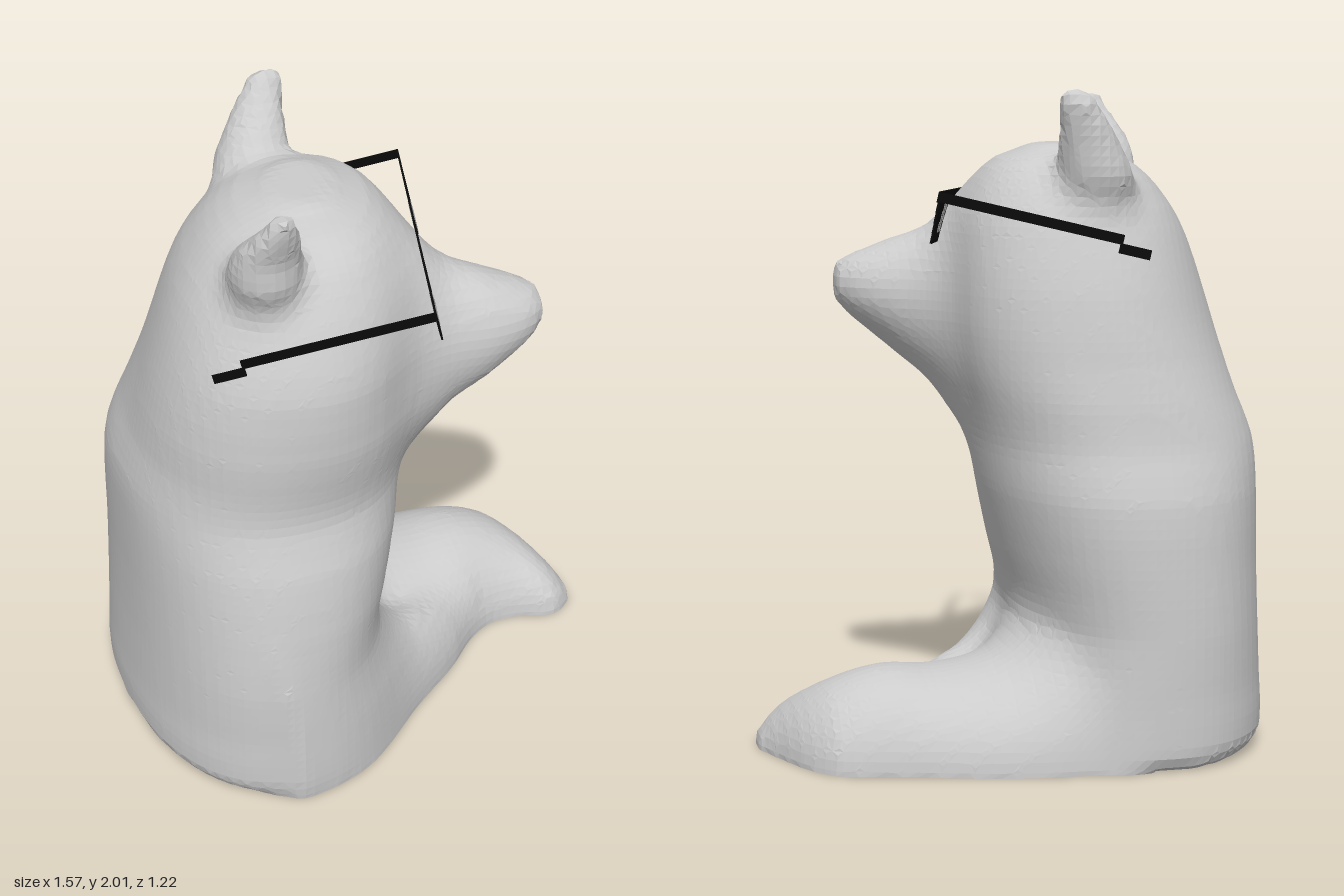
import * as THREE from 'three';

const grey = new THREE.MeshStandardMaterial({ color: 0xcccccc, flatShading: true });
const black = new THREE.MeshStandardMaterial({ color: 0x0a0a0a });
const glint = new THREE.MeshStandardMaterial({ color: 0x999999 });

// Insert a smoothly curved in-between section after every section
function refine(rows) {
  return rows.flatMap((b, k) => {
    const c = rows[k + 1];
    if (!c) return [b];
    const a = rows[k - 1] ?? b, d = rows[k + 2] ?? c;
    return [b, b.map((v, m) => (9 * (v + c[m]) - a[m] - d[m]) / 16)];
  });
}

// Solid swept through oval sections [t, a min, a max, b min, b max];
// gives a rough distance, negative inside
function solid(sections, power = 2) {
  const rows = refine(sections);
  const first = rows[0][0], last = rows[rows.length - 1][0];
  return (t, a, b) => {
    const tc = THREE.MathUtils.clamp(t, first, last);
    let k = 0;
    while (k < rows.length - 2 && rows[k + 1][0] < tc) k++;
    const p = rows[k], q = rows[k + 1], f = (tc - p[0]) / (q[0] - p[0]);
    const at = (m) => p[m] + (q[m] - p[m]) * f;
    const ha = (at(2) - at(1)) / 2, hb = (at(4) - at(3)) / 2;
    const r = (Math.abs((a - at(1)) / ha - 1) ** power + Math.abs((b - at(3)) / hb - 1) ** power) ** (1 / power);
    return Math.max((r - 1) * Math.min(ha, hb), first - t, t - last);
  };
}

// Join two solids with a fillet of size k
function join(a, b, k) {
  const h = Math.max(k - Math.abs(a - b), 0) / k;
  return Math.min(a, b) - (h * h * k) / 4;
}

// Trunk and head: y, back x, front x, right z, left z
const trunk = solid([
  [0, -0.72, 0.03, -0.59, 0.59], [0.06, -0.78, 0.03, -0.6, 0.6], [0.22, -0.775, 0.02, -0.6, 0.6],
  [0.4, -0.765, -0.01, -0.6, 0.6], [0.6, -0.76, 0.035, -0.595, 0.585], [0.8, -0.76, 0.08, -0.58, 0.55],
  [0.95, -0.755, 0.1, -0.53, 0.5], [1.08, -0.72, 0.12, -0.5, 0.515], [1.2, -0.69, 0.14, -0.47, 0.535],
  [1.4, -0.63, 0.15, -0.435, 0.53], [1.55, -0.58, 0.145, -0.39, 0.48], [1.65, -0.53, 0.125, -0.35, 0.43],
  [1.75, -0.45, 0.07, -0.28, 0.36], [1.81, -0.36, 0, -0.2, 0.26], [1.845, -0.25, -0.12, -0.08, 0.12],
], 2.25);

// Muzzle: x, bottom y, top y, right z, left z
const muzzle = solid([
  [-0.1, 1.1, 1.6, -0.06, 0.3], [0.1, 1.03, 1.61, -0.02, 0.36], [0.2, 1.1, 1.58, 0.01, 0.375],
  [0.3, 1.18, 1.55, 0.065, 0.39], [0.4, 1.265, 1.51, 0.12, 0.38],
  [0.46, 1.315, 1.485, 0.17, 0.355], [0.492, 1.36, 1.46, 0.215, 0.32],
]);

// Limb lying on the ground: x, -height, height, right z, left z
const hindLeg = solid([
  [-0.2, -0.38, 0.38, -0.5, 0.2], [-0.05, -0.36, 0.36, -0.55, 0.2], [0.1, -0.3, 0.3, -0.54, 0.16],
  [0.2, -0.275, 0.275, -0.515, 0.14], [0.3, -0.268, 0.268, -0.485, 0.12], [0.4, -0.278, 0.278, -0.455, 0.09],
  [0.5, -0.265, 0.265, -0.43, 0.065], [0.6, -0.225, 0.225, -0.4, 0.075], [0.68, -0.17, 0.17, -0.31, 0.11],
  [0.74, -0.11, 0.11, -0.18, 0.095], [0.79, -0.04, 0.04, -0.06, 0.05],
]);

// Low leg folded diagonally across the front: along, -height, height, inner, outer
const frontLeg = solid([
  [-0.6, -0.38, 0.38, 0.03, 0.32], [-0.36, -0.36, 0.36, 0.06, 0.36], [-0.17, -0.31, 0.31, 0.055, 0.365],
  [0, -0.24, 0.24, 0.06, 0.345], [0.18, -0.19, 0.19, 0.064, 0.315], [0.33, -0.14, 0.14, 0.1, 0.26],
]);

// Ears: y, x range, z range
const leftEar = solid([
  [1.6, -0.47, -0.29, 0.17, 0.37], [1.74, -0.5, -0.288, 0.21, 0.44], [1.82, -0.495, -0.295, 0.255, 0.44],
  [1.9, -0.465, -0.315, 0.345, 0.465], [1.96, -0.43, -0.34, 0.405, 0.482], [2.0, -0.415, -0.355, 0.43, 0.485],
]);
const rightEar = solid([
  [1.6, -0.32, -0.12, -0.32, -0.08], [1.74, -0.33, -0.1, -0.385, -0.13], [1.82, -0.295, -0.093, -0.387, -0.18],
  [1.91, -0.24, -0.088, -0.39, -0.255], [1.97, -0.195, -0.08, -0.392, -0.3], [2.01, -0.17, -0.085, -0.39, -0.32],
]);

// The whole animal; the head is turned to its left, the sides run straight into the ground
function animal(x, yRaw, z) {
  const y = Math.max(yRaw, 0);
  const yaw = 0.29 * THREE.MathUtils.smoothstep(y, 0.9, 1.35);
  const dx = x + 0.23, dz = z - 0.05, c = Math.cos(yaw), s = Math.sin(yaw);
  let d = trunk(y, -0.23 + dx * c + dz * s, 0.05 - dx * s + dz * c);
  d = join(d, muzzle(x, y, z), 0.16);
  const legs = join(hindLeg(x, y, z), frontLeg(0.89 * x - 0.456 * z, y, 0.456 * x + 0.89 * z), 0.06);
  d = join(d, legs, 0.13);
  d = join(d, Math.min(leftEar(y, x, z), rightEar(y, x, z)), 0.06);
  return Math.max(d, -yRaw - 0.04);
}

// Mesh the surface of a solid on a grid, one point per crossed cell
function skin(name, field, min, size, step) {
  const n = size.map((v) => Math.ceil(v / step) + 1);
  const stride = [1, n[0], n[0] * n[1]];
  const val = new Float32Array(n[0] * n[1] * n[2]);
  const cell = (i) => [i % n[0], Math.floor(i / n[0]) % n[1], Math.floor(i / stride[2])];
  val.forEach((_, i) => { val[i] = field(...cell(i).map((v, m) => min[m] + v * step)); });
  const pts = [], ids = new Map(), idx = [];
  const point = (i) => {
    if (ids.has(i)) return ids.get(i);
    const sum = [0, 0, 0];
    let count = 0;
    for (let c = 0; c < 8; c++) {
      const bits = [c & 1, (c >> 1) & 1, c >> 2];
      const at = i + bits[0] + bits[1] * stride[1] + bits[2] * stride[2];
      for (let d = 0; d < 3; d++) {
        if (bits[d]) continue;
        const a = val[at], b = val[at + stride[d]];
        if ((a < 0) === (b < 0)) continue;
        bits.forEach((v, m) => { sum[m] += v + (m === d ? a / (a - b) : 0); });
        count++;
      }
    }
    const p = cell(i).map((v, m) => min[m] + (v + sum[m] / count) * step);
    pts.push(new THREE.Vector3(p[0], Math.max(p[1], 0), p[2]));
    ids.set(i, pts.length - 1);
    return pts.length - 1;
  };
  val.forEach((v, i) => {
    for (let d = 0; d < 3; d++) {
      const w = val[i + stride[d]];
      if (w === undefined || (v < 0) === (w < 0)) continue;
      const su = stride[(d + 1) % 3], sv = stride[(d + 2) % 3];
      const q = [i, i - su, i - su - sv, i - sv].map(point);
      if (v >= 0) q.reverse();
      idx.push(q[0], q[1], q[2], q[0], q[2], q[3]);
    }
  });
  const g = new THREE.BufferGeometry().setFromPoints(pts);
  g.setIndex(idx);
  g.computeVertexNormals();
  const mesh = new THREE.Mesh(g, grey);
  mesh.name = name;
  return mesh;
}

// Blocky sunglasses, built facing +z, then turned and tipped with the head
function makeGlasses() {
  const g = new THREE.Group();
  g.name = 'sunglasses';
  const px = 0.885 / 30, rowHeight = 0.032;
  const block = (name, mat, col, row, cols, depth = 0.006) => {
    const m = new THREE.Mesh(new THREE.BoxGeometry(cols * px, rowHeight, depth), mat);
    m.position.set((col + cols / 2 - 15) * px, -(row + 0.5) * rowHeight, 0);
    m.name = name;
    g.add(m);
  };
  block('topBar', black, 0, 0, 30);
  for (const [start, width] of [[0, 13.5], [16.5, 12]]) {
    for (let row = 1; row < 5; row++) {
      block('lens', black, start + row - 1, row, width - (row - 1) * 1.5);
    }
    for (const [c, r] of [[2, 1], [4, 1], [3, 2], [5, 2], [4, 3], [6, 3]]) {
      block('lensGlint', glint, start + c, r, 1, 0.01);
    }
  }
  // Side arms with a dropped tip
  for (const side of [-1, 1]) {
    for (const [name, length, y, z] of [['armBar', 0.56, -0.015, -0.28], ['armTip', 0.095, -0.041, -0.6]]) {
      const m = new THREE.Mesh(new THREE.BoxGeometry(0.003, 0.03, length), black);
      m.position.set(side * 0.44, y, z);
      m.name = name;
      g.add(m);
    }
  }
  g.position.set(0.132, 1.695, 0.175);
  g.rotation.set(-0.225, 1.276, 0.035, 'YXZ');
  return g;
}

export function createModel() {
  const model = new THREE.Group();
  model.name = 'sittingAnimal';
  model.add(skin('animalBody', animal, [-0.9, -0.12, -0.72], [1.8, 2.22, 1.44], 0.03), makeGlasses());
  return model;
}
